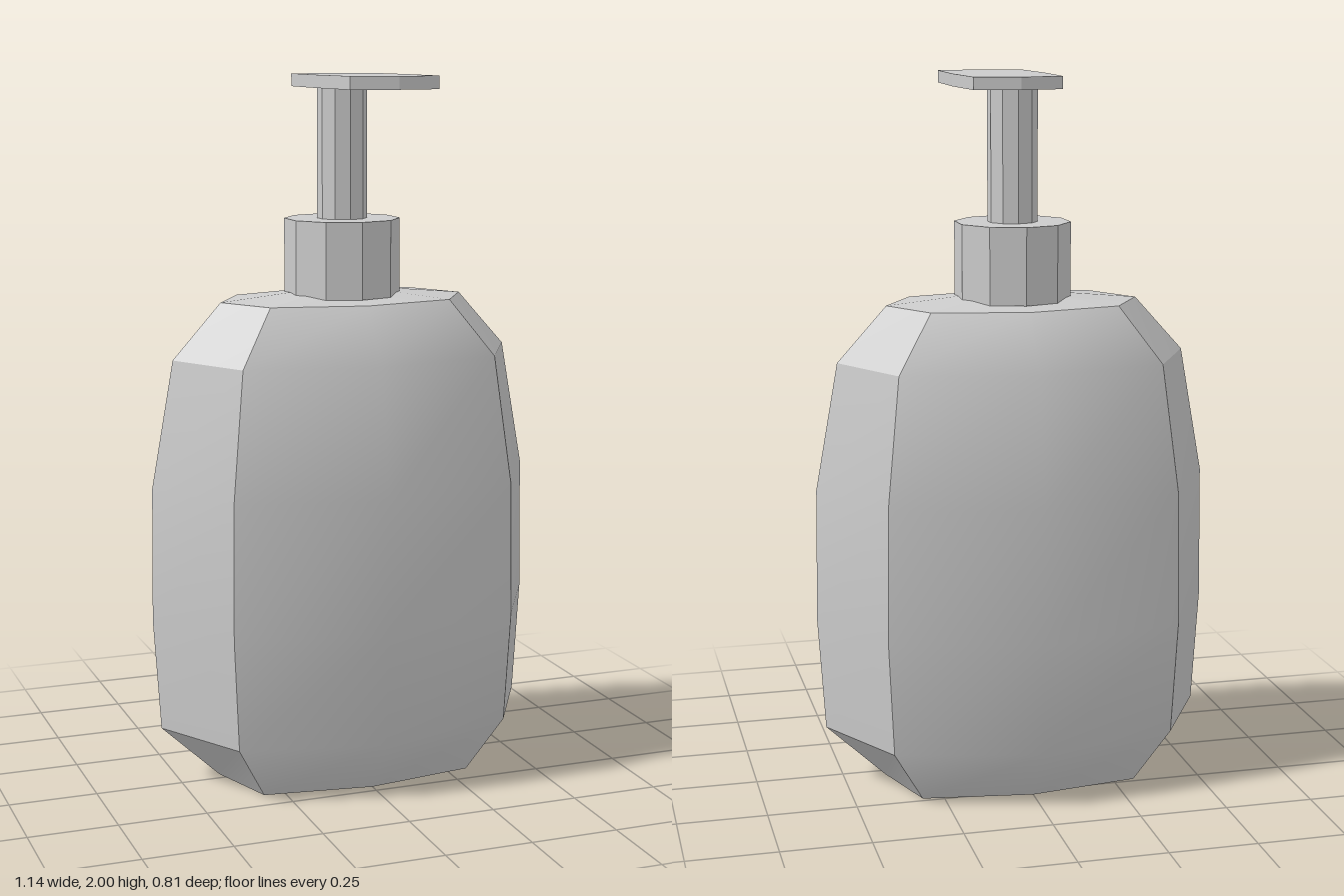
import * as THREE from 'three';

const AXIS_Z = -0.03; // bottle axis

const material = (flatShading = false) =>
  new THREE.MeshStandardMaterial({ color: 0xcccccc, flatShading });

// Eight-sided ring: side half width, corner x and z, middle depth
const ring = (y, side, cx, cz, mid) => [
  [-cx, y, cz], [0, y, mid], [cx, y, cz], [side, y, 0],
  [cx, y, -cz], [0, y, -mid], [-cx, y, -cz], [-side, y, 0],
];

// Smooth patch over the given rings and ring columns
function patch(name, rings, columns) {
  const n = columns.length;
  const positions = [], index = [];
  rings.forEach((r) => columns.forEach((c) => positions.push(...r[c % 8])));
  for (let i = 0; i < rings.length - 1; i++) {
    for (let j = 0; j < n - 1; j++) {
      const a = i * n + j, b = a + 1, c = b + n, d = a + n;
      index.push(a, b, c, a, c, d);
    }
  }
  const geometry = new THREE.BufferGeometry();
  geometry.setAttribute('position', new THREE.Float32BufferAttribute(positions, 3));
  geometry.setIndex(index);
  geometry.computeVertexNormals();
  const mesh = new THREE.Mesh(geometry, material());
  mesh.name = name;
  return mesh;
}

function createBottle() {
  const bottle = new THREE.Group();
  bottle.name = 'bottle';
  bottle.position.z = AXIS_Z;
  const rings = [
    ring(0, 0.38, 0.31, 0.205, 0.25),
    ring(0.16, 0.55, 0.4, 0.265, 0.36),
    ring(0.48, 0.57, 0.415, 0.275, 0.375),
    ring(0.86, 0.565, 0.41, 0.27, 0.37),
    ring(1.22, 0.5, 0.37, 0.235, 0.32),
    ring(1.375, 0.36, 0.265, 0.155, 0.21),
  ];

  // Broad front and back panels
  bottle.add(patch('frontPanel', rings, [0, 1, 2]));
  bottle.add(patch('backPanel', rings, [4, 5, 6]));

  // Narrow side facets with creased bevels at foot and shoulder
  for (const c of [2, 3, 6, 7]) {
    const side = c < 4 ? 'left' : 'right';
    bottle.add(patch(side + 'FootBevel', rings.slice(0, 2), [c, c + 1]));
    bottle.add(patch(side + 'Facet', rings.slice(1, 5), [c, c + 1]));
    bottle.add(patch(side + 'ShoulderBevel', rings.slice(4), [c, c + 1]));
  }

  // Slightly raised top and flat base
  const around = [0, 1, 2, 3, 4, 5, 6, 7, 8];
  bottle.add(patch('shoulderTop', [rings[5], ring(1.41, 0, 0, 0, 0)], around));
  bottle.add(patch('base', [ring(0, 0, 0, 0, 0), rings[0]], around));
  return bottle;
}

// Ten-sided upright cylinder on the bottle axis
function post(name, radius, bottom, top) {
  const mesh = new THREE.Mesh(
    new THREE.CylinderGeometry(radius, radius, top - bottom, 10), material(true));
  mesh.position.set(0, (top + bottom) / 2, AXIS_Z);
  mesh.name = name;
  return mesh;
}

// Flat pump head reaching forward
function createPumpHead() {
  const outline = [
    [0, -0.13], [0.125, -0.1], [0.135, 0.13], [0.125, 0.37],
    [0, 0.4], [-0.125, 0.37], [-0.135, 0.13], [-0.125, -0.1],
  ];
  const shape = new THREE.Shape(outline.map(([x, z]) => new THREE.Vector2(x, z)));
  const geometry = new THREE.ExtrudeGeometry(shape, { depth: 0.035, bevelEnabled: false });
  geometry.rotateX(Math.PI / 2);
  const mesh = new THREE.Mesh(geometry, material(true));
  mesh.position.y = 2;
  mesh.name = 'pumpHead';
  return mesh;
}

export function createModel() {
  const model = new THREE.Group();
  model.name = 'soapDispenser';
  model.add(
    createBottle(),
    post('collar', 0.163, 1.385, 1.6),
    post('pumpStem', 0.07, 1.6, 1.967),
    createPumpHead(),
  );
  return model;
}
